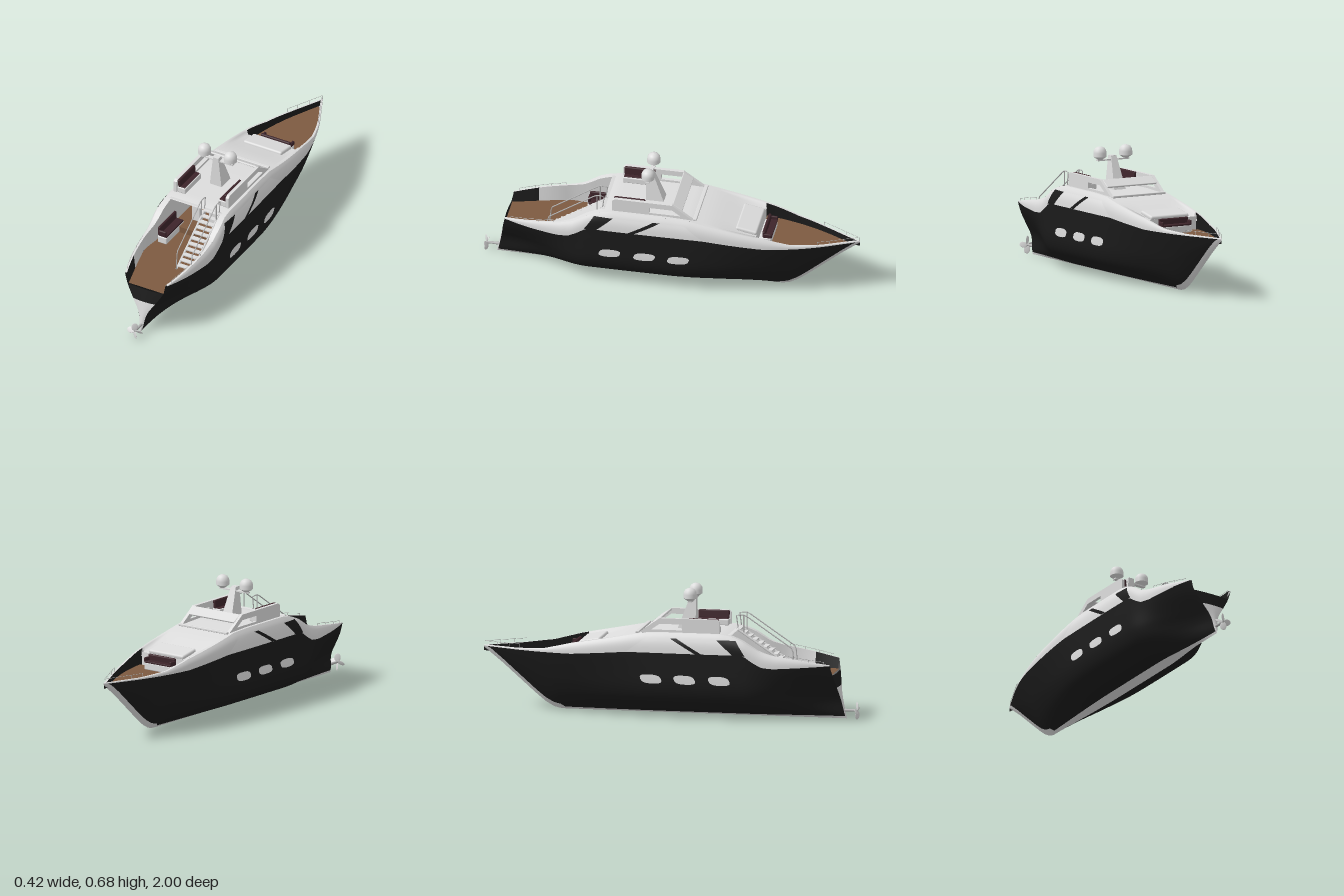
import * as THREE from 'three';
import { RoundedBoxGeometry } from 'three/addons/geometries/RoundedBoxGeometry.js';

const mat = (name, color) => {
  const m = new THREE.MeshStandardMaterial({ color, side: THREE.DoubleSide });
  m.name = name;
  return m;
};
const white = mat('white', 0xdcdcdc), black = mat('black', 0x1b1b1b), teak = mat('teak', 0x7d5a40);
const leather = mat('leather', 0x3d242a), glass = mat('glass', 0xe2e2e2), metal = mat('metal', 0xb4b4b4);

const clamp = (v, a = 0, b = 1) => Math.min(b, Math.max(a, v));
const smooth = (a, b, v) => { const t = clamp((v - a) / (b - a)); return t * t * (3 - 2 * t); };
// piecewise curve through [position, value] pairs, linear or cubic
const curve = (pts, cubic = false) => (p) => {
  const n = pts.length;
  if (p <= pts[0][0]) return pts[0][1];
  if (p >= pts[n - 1][0]) return pts[n - 1][1];
  let i = 0;
  while (p > pts[i + 1][0]) i++;
  const [a, b] = [pts[i], pts[i + 1]], h = b[0] - a[0], t = (p - a[0]) / h;
  if (!cubic) return a[1] + (b[1] - a[1]) * t;
  const tan = (j) => {
    const l = pts[Math.max(0, j - 1)], r = pts[Math.min(n - 1, j + 1)];
    return (r[1] - l[1]) / (r[0] - l[0]);
  };
  const t2 = t * t, t3 = t2 * t;
  return (2 * t3 - 3 * t2 + 1) * a[1] + (t3 - 2 * t2 + t) * h * tan(i) + (3 * t2 - 2 * t3) * b[1] + (t3 - t2) * h * tan(i + 1);
};

// main lines of the boat along z
const width = curve([[-1, 0.002], [-0.9, 0.05], [-0.8, 0.097], [-0.7, 0.135], [-0.6, 0.163], [-0.5, 0.182], [-0.3, 0.2], [0, 0.207], [0.4, 0.207], [0.55, 0.2], [0.7, 0.178], [0.8, 0.152], [0.87, 0.128]], true);
const keel = curve([[-1, 0.32], [-0.9, 0.24], [-0.8, 0.152], [-0.72, 0.082], [-0.67, 0.042], [-0.62, 0.014], [-0.58, 0.007]]);
const sheer = curve([[-1, 0.325], [-0.5, 0.33], [-0.2, 0.355], [0.42, 0.355], [0.47, 0.32], [0.52, 0.293], [0.58, 0.288], [0.87, 0.303]]);
const topLine = curve([[-1, 0.33], [-0.8, 0.335], [-0.65, 0.348], [-0.5, 0.385], [-0.25, 0.43], [-0.12, 0.455], [0, 0.46], [0.3, 0.46], [0.36, 0.45], [0.42, 0.425], [0.5, 0.375], [0.57, 0.355], [0.7, 0.335], [0.87, 0.306]]);
const refLine = curve([[-1, 0.325], [-0.2, 0.335], [0.4, 0.33], [0.87, 0.3]]);
// section shapes: height fraction to width fraction
const ts = [0, 0.1, 0.2, 0.3, 0.42, 0.55, 0.8, 1];
const section = (f) => curve(f.map((v, i) => [ts[i], v]), true);
const midF = section([0, 0.43, 0.7, 0.86, 0.95, 0.99, 1, 1]);
const bowF = section([0, 0.15, 0.28, 0.4, 0.53, 0.66, 0.86, 1]);
const sternF = section([0, 0.08, 0.11, 0.15, 0.26, 0.45, 0.8, 1]);
const hullT = (z, y) => clamp((y - keel(z)) / Math.max(0.001, refLine(z) - keel(z)));
const hullX = (z, y) => {
  const t = hullT(z, y), stern = smooth(0.42, 0.87, z), bow = 1 - smooth(-0.8, 0, z);
  return width(z) * (midF(t) * (1 - bow - stern) + bowF(t) * bow + sternF(t) * stern);
};
const hullZ = (z, y) => z + 0.06 * smooth(0.6, 0.87, z) * (1 - hullT(z, y));
const wallX = (z, y) => {
  const h = topLine(z) - sheer(z), v = clamp((y - sheer(z)) / h);
  return width(z) - Math.min(0.028 * clamp(h / 0.1), width(z)) * v ** 3;
};

const range = (a, b, n) => Array.from({ length: n + 1 }, (_, i) => a + (b - a) * i / n);

// grid surface: fn(u, v) gives [x, y, z]
function sheet(us, vs, fn) {
  const pos = [], idx = [], m = vs.length;
  us.forEach((u) => vs.forEach((v) => pos.push(...fn(u, v))));
  for (let i = 0; i < us.length - 1; i++) for (let j = 0; j < m - 1; j++) {
    const a = i * m + j, b = a + m;
    idx.push(a, a + 1, b, b, a + 1, b + 1);
  }
  const g = new THREE.BufferGeometry();
  g.setAttribute('position', new THREE.Float32BufferAttribute(pos, 3));
  g.setIndex(idx);
  g.computeVertexNormals();
  return g;
}

export function createModel() {
  const root = new THREE.Group();
  root.name = 'motorYacht';
  const add = (name, geo, material, x = 0, y = 0, z = 0, parent = root) => {
    const m = new THREE.Mesh(geo, material);
    m.name = name;
    m.position.set(x, y, z);
    parent.add(m);
    return m;
  };
  const box = (name, material, x, y, z, w, h, d, r = 0.006) =>
    add(name, r ? new RoundedBoxGeometry(w, h, d, 2, r) : new THREE.BoxGeometry(w, h, d), material, x, y, z);
  const both = (name, geo, material) => [1, -1].forEach((s) => { add(name, geo, material).scale.x = s; });
  const tube = (name, pts, r = 0.003, material = metal) => {
    const path = new THREE.CurvePath();
    for (let i = 1; i < pts.length; i++) path.add(new THREE.LineCurve3(new THREE.Vector3(...pts[i - 1]), new THREE.Vector3(...pts[i])));
    return add(name, new THREE.TubeGeometry(path, (pts.length - 1) * 6, r, 6), material);
  };

  // hull with pale keel and stem strip
  const stations = range(-1, 0.87, 90);
  const strip = (z) => (z < -0.57 ? Math.min(keel(z) + 0.028, sheer(z)) : keel(z) + 0.012);
  const hullPoint = (z, y) => [hullX(z, y), y, hullZ(z, y)];
  both('hullSide', sheet(stations, range(0, 1, 22), (z, v) => hullPoint(z, strip(z) + (sheer(z) - strip(z)) * v)), black);
  both('keelStrip', sheet(stations, range(0, 1, 3), (z, v) => hullPoint(z, keel(z) + (strip(z) - keel(z)) * v)), white);
  const transom = (y, v) => [hullX(0.87, y) * v, y, hullZ(0.87, y) + 0.006 * (1 - v * v)];
  add('lowerTransom', sheet(range(0.007, 0.18, 12), range(-1, 1, 6), transom), white);
  add('upperTransom', sheet(range(0.18, 0.25, 6), range(-1, 1, 6), transom), black);

  // side walls and bulwarks, with rim and inner lining
  both('sideWall', sheet(stations, range(0, 1, 8), (z, v) => {
    const y = sheer(z) + (topLine(z) - sheer(z)) * v;
    return [wallX(z, y), y, z];
  }), white);
  const floorY = (z) => (z < -0.4 ? Math.min(0.3, topLine(z)) : 0.25);
  const rimWidth = (z) => 0.011 + 0.022 * smooth(-0.47, 0, z) * (1 - smooth(0.42, 0.6, z));
  const rimX = (z) => Math.max(0, wallX(z, topLine(z)) - rimWidth(z));
  const innerX = (z) => Math.max(0, Math.min(width(z) - rimWidth(z) - 0.004, hullX(z, floorY(z)) - 0.003));
  const lining = (name, a, b, material) => {
    const zs = range(a, b, 30);
    both(name + 'Rim', sheet(zs, [0, 1], (z, v) => [v ? rimX(z) : wallX(z, topLine(z)), topLine(z), z]), white);
    both(name + 'Lining', sheet(zs, [0, 1], (z, v) => [v ? innerX(z) : rimX(z), v ? floorY(z) : topLine(z), z]), material);
  };
  lining('bow', -1, -0.47, black);
  lining('cockpit', 0.06, 0.74, white);
  lining('stern', 0.74, 0.87, black);
  const deck = (name, a, b, y) => add(name, sheet(range(a, b, 24), [1, -1], (z, v) => [innerX(z) * v, y, z]), teak);
  deck('foreDeck', -0.96, -0.47, 0.301);
  deck('aftDeck', 0.06, 0.875, 0.251);

  // roof with a sunken forward part, sloping ceiling and bulkheads
  const sink = (z) => 0.02 * (1 - smooth(-0.42, -0.2, z));
  const roofVs = [-1, -0.9, -0.87, -0.4, 0, 0.4, 0.87, 0.9, 1];
  add('roof', sheet(range(-0.47, 0.35, 40), roofVs, (z, v) =>
    [wallX(z, topLine(z)) * v, topLine(z) - (Math.abs(v) < 0.88 ? sink(z) : 0), z]), white);
  add('cabinCeiling', sheet([0.06, 0.35], [-1, 1], (z, v) => [(z < 0.1 ? 0.14 : 0.155) * v, z < 0.1 ? 0.42 : 0.457, z]), white);
  add('foreBulkhead', sheet([0.3, topLine(-0.47) - sink(-0.47)], [-1, 1], (y, v) => [rimX(-0.47) * v, y, -0.47]), white);
  add('cabinBulkhead', sheet([0.25, 0.45], [-1, 1], (y, v) => [0.18 * v, y, 0.06]), white);
  box('cabinFloor', teak, 0, 0.268, 0.2, 0.27, 0.034, 0.28, 0);

  // side windows and dark panels; ranges are z along bottom and top edges
  const panel = (name, material, b0, b1, t0, t1, yb, yt, lift) => both(name, sheet(range(0, 1, 10), range(0, 1, 6), (u, v) => {
    const y = yb + (yt - yb) * v, z = (b0 + (b1 - b0) * u) * (1 - v) + (t0 + (t1 - t0) * u) * v;
    return [wallX(z, y) + lift, y, z];
  }), material);
  panel('frontWindow', glass, -0.2, 0.165, -0.1, 0.03, 0.358, 0.432, 0.0015);
  panel('rearWindow', glass, 0.2, 0.37, 0.065, 0.28, 0.358, 0.432, 0.0015);
  panel('windowPillar', black, 0.165, 0.2, 0.03, 0.065, 0.356, 0.434, 0.002);
  panel('darkQuarterPanel', black, 0.37, 0.432, 0.28, 0.38, 0.352, 0.432, 0.002);

  // portholes follow the hull side
  [0.295, 0.11, -0.07].forEach((zc) => both('porthole', sheet(range(0, 1, 6), range(0, Math.PI * 2, 28), (r, a) => {
    const c = Math.cos(a), s = Math.sin(a);
    const dy = 0.024 * r * Math.sign(s) * Math.abs(s) ** 0.7;
    const z = zc + 0.056 * r * Math.sign(c) * Math.abs(c) ** 0.7 - dy * 0.4, y = 0.216 + dy;
    return [hullX(z, y) + 0.002, y, z];
  }), glass));

  // flybridge screen: side frames with openings joined by a raked bar
  const frame = new THREE.Shape([[-0.29, 0.455], [-0.29, 0.522], [-0.275, 0.533], [0.03, 0.533], [0.14, 0.455]].map((p) => new THREE.Vector2(...p)));
  frame.holes.push(new THREE.Path([[-0.09, 0.472], [0.075, 0.472], [0.03, 0.503], [-0.09, 0.503]].map((p) => new THREE.Vector2(...p))));
  const frameGeo = new THREE.ExtrudeGeometry(frame, { depth: 0.018, bevelEnabled: false });
  frameGeo.rotateY(Math.PI / 2);
  [0.147, -0.165].forEach((x) => add('flybridgeSide', frameGeo, white, x));
  box('screenBar', white, 0, 0.512, -0.055, 0.3, 0.01, 0.062, 0.003).rotation.x = -0.56;
  box('screenSill', white, 0, 0.455, -0.15, 0.32, 0.012, 0.02, 0.003);

  // flybridge benches
  [1, -1].forEach((s) => {
    box('flybridgeBench', white, s * 0.122, 0.475, 0.2, 0.05, 0.034, 0.17);
    box('benchCushion', leather, s * 0.12, 0.491, 0.2, 0.034, 0.008, 0.16, 0.003);
    box('benchBack', leather, s * 0.137, 0.512, 0.2, 0.016, 0.044, 0.165).rotation.z = -s * 0.12;
  });

  // mast, crossbar and domes
  add('mast', sheet([0, 0.5, 1], [0, 1, 2, 3, 4], (u, c) => {
    const hw = 0.035 - 0.019 * u, right = c === 1 || c === 2;
    return [right ? hw : -hw, 0.46 + 0.172 * u, c === 2 || c === 3 ? 0.135 : 0.04 + 0.065 * u];
  }).toNonIndexed(), white).geometry.computeVertexNormals();
  box('mastCap', white, 0, 0.63, 0.12, 0.032, 0.005, 0.03, 0);
  box('mastCrossbar', white, 0, 0.611, 0.115, 0.19, 0.007, 0.022, 0);
  const lathe = (pts) => new THREE.LatheGeometry(pts.map((p) => new THREE.Vector2(...p)), 24);
  const dome = lathe([[0.035, 0.63], [0.035, 0.65], [0.0325, 0.663], [0.025, 0.675], [0.013, 0.682], [0, 0.684]]);
  const domeFoot = lathe([[0.012, 0.613], [0.018, 0.618], [0.035, 0.63]]);
  [1, -1].forEach((s) => {
    add('radarDome', dome, white, s * 0.078, 0, 0.115);
    add('radarDomeFoot', domeFoot, white, s * 0.078, 0, 0.115);
  });

  // stairs to the flybridge
  for (let i = 0; i < 11; i++) box('stairTread', white, 0.096, 0.268 + i * 0.018, 0.625 - i * 0.028, 0.085, 0.006, 0.026, 0);
  [0.052, 0.14].forEach((x) => {
    tube('stairStringer', [[x, 0.252, 0.64], [x, 0.455, 0.335]], 0.006, white);
    tube('stairHandrail', [[x, 0.252, 0.645], [x, 0.355, 0.635], [x, 0.527, 0.38], [x, 0.527, 0.335], [x, 0.458, 0.345]], 0.003);
    tube('stairPost', [[x, 0.43, 0.375], [x, 0.527, 0.375]]);
  });

  // cockpit seating and cabin furniture
  box('cockpitSofa', white, -0.13, 0.27, 0.38, 0.055, 0.04, 0.19);
  box('sofaCushion', leather, -0.128, 0.294, 0.38, 0.048, 0.012, 0.18, 0.004);
  box('sofaBack', leather, -0.152, 0.317, 0.38, 0.014, 0.05, 0.18);
  box('sofaEnd', leather, -0.13, 0.31, 0.467, 0.045, 0.03, 0.014);
  [-0.053, 0.05].forEach((x) => {
    box('cabinSeat', white, x, 0.305, 0.22, 0.05, 0.04, 0.06);
    box('cabinSeatBack', white, x, 0.332, 0.245, 0.05, 0.094, 0.016);
  });
  box('cabinCabinet', white, 0, 0.32, 0.085, 0.22, 0.07, 0.04);

  // foredeck sunpad and sofa
  box('sunpad', white, 0, 0.387, -0.415, 0.23, 0.024, 0.115, 0.01).rotation.x = -0.18;
  box('foreSofa', white, 0, 0.32, -0.51, 0.18, 0.04, 0.065);
  box('foreSofaCushion', leather, 0, 0.343, -0.523, 0.17, 0.01, 0.044, 0.003);
  box('foreSofaBack', leather, 0, 0.36, -0.503, 0.176, 0.036, 0.016);
  [1, -1].forEach((s) => box('foreSofaArm', leather, s * 0.084, 0.353, -0.522, 0.012, 0.024, 0.044, 0.004));

  // bow and stern rails
  [1, -1].forEach((s) => {
    const at = (z, h) => [s * Math.max(0, wallX(z, topLine(z)) - 0.004), topLine(z) + h, z];
    const rail = (name, zs, h) => {
      tube(name, zs.map((z) => at(z, h)), 0.0011);
      zs.forEach((z) => tube(name + 'Post', [at(z, -0.002), at(z, h)], 0.0011));
    };
    rail('bowRail', [-0.995, -0.92, -0.85, -0.79], 0.021);
    rail('sternRail', [0.6, 0.68, 0.76, 0.84], 0.012);
  });

  // propeller
  const prop = new THREE.Group();
  prop.name = 'propeller';
  prop.position.set(0, 0.05, 0.987);
  root.add(prop);
  add('shaft', new THREE.CylinderGeometry(0.006, 0.008, 0.08, 16), metal, 0, 0, -0.033, prop).rotation.x = Math.PI / 2;
  const blade = new THREE.SphereGeometry(1, 16, 10).scale(0.017, 0.023, 0.0025).rotateY(0.55).translate(0, 0.024, 0);
  for (let i = 0; i < 4; i++) add('blade', blade, white, 0, 0, 0.004, prop).rotation.z = i * Math.PI / 2 + 0.05;
  return root;
}
